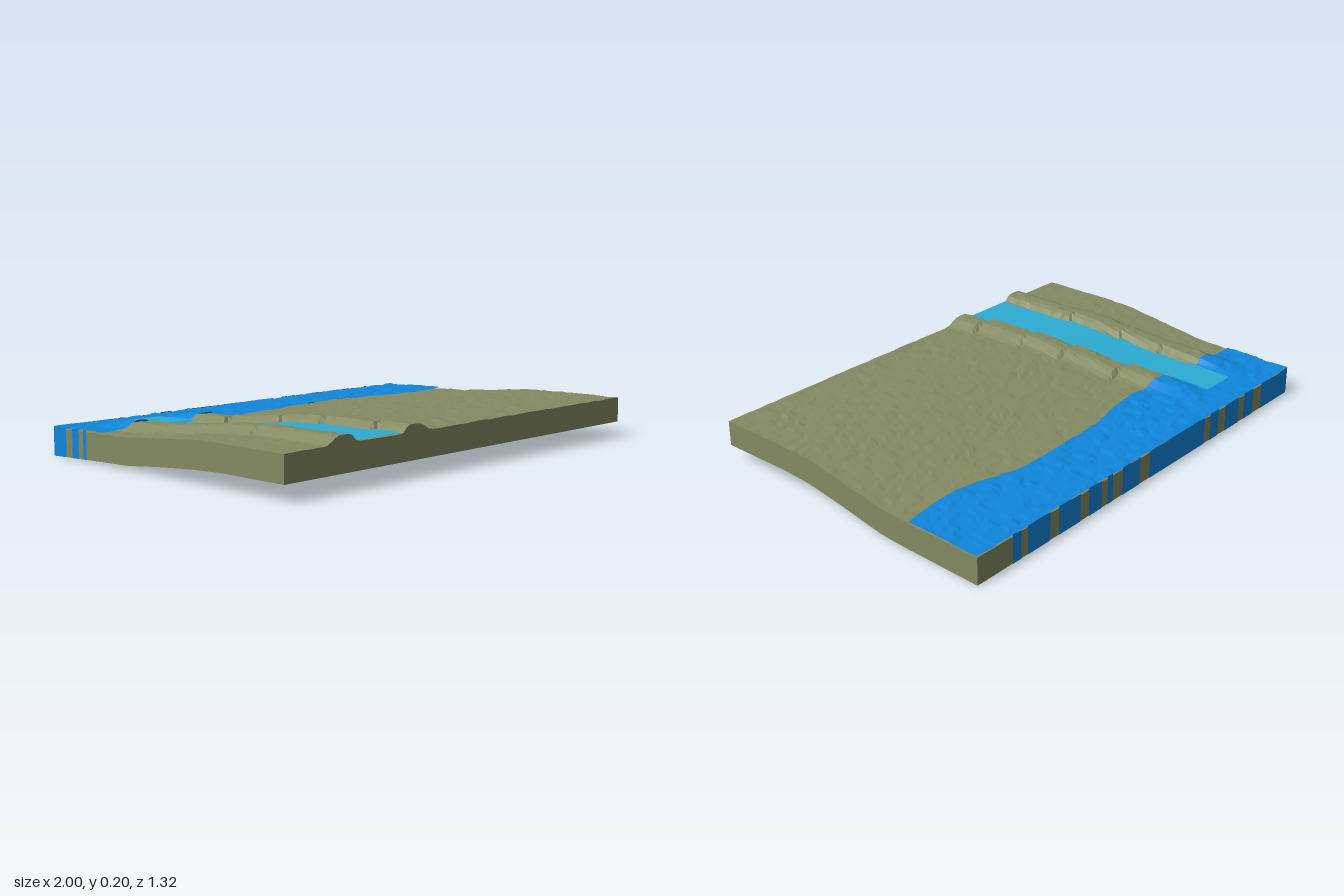
import * as THREE from 'three';

const lerp = THREE.MathUtils.lerp;
const smooth = THREE.MathUtils.smoothstep;

// Piecewise linear lookup through [position, value] pairs
function along(table, p) {
  for (let i = 1; i < table.length; i++) {
    const [a, va] = table[i - 1], [b, vb] = table[i];
    if (p <= b) return lerp(va, vb, Math.max(0, (p - a) / (b - a)));
  }
  return table[table.length - 1][1];
}

// Repeatable blocky roughness, 0..1 per patch of ground
function patch(x, z) {
  const n = Math.sin(Math.floor(x / 0.05) * 12.99 + Math.floor(z / 0.03) * 78.23) * 43758.55;
  return n - Math.floor(n);
}

const FRONT = 0.66, BACK = -0.66;
const topProfile = [[-0.66, 0.108], [-0.4, 0.115], [-0.2, 0.122], [0, 0.141], [0.15, 0.157], [0.3, 0.164], [0.66, 0.165]];
const bottomProfile = [[-0.66, 0.002], [-0.2, 0.018], [0, 0.04], [0.2, 0.058], [0.35, 0.065], [0.66, 0.065]];
const shoreline = [[-1, -0.36], [-0.7, -0.365], [-0.5, -0.345], [-0.3, -0.325], [-0.15, -0.345], [0, -0.375],
  [0.2, -0.385], [0.4, -0.39], [0.5, -0.375], [0.65, -0.33], [0.77, -0.315], [0.9, -0.325], [1, -0.345]];
// Stream bank steps: [up to z, left edge, right edge]
const streamSteps = [[-0.17, -0.71, -0.55], [0.03, -0.695, -0.51], [0.1, -0.68, -0.505], [0.3, -0.675, -0.48],
  [0.52, -0.655, -0.46], [1, -0.65, -0.425]];

const bend = (z) => 1 - smooth(z, -0.35, 0.32);
const xAt = (u, z) => lerp(-1 + 0.033 * bend(z), 0.96 + 0.037 * bend(z), u);
const bankAt = (z) => streamSteps.find((s) => z <= s[0]);
const bottomY = (z) => along(bottomProfile, z);

// Ground level including the two raised banks beside the stream
function groundY(x, z) {
  const [, left, right] = bankAt(z);
  const d = Math.max(left - x, x - right);
  const bank = smooth(d, 0, 0.04) * (1 - smooth(d, 0.09, 0.16));
  return along(topProfile, z) + 0.03 * bank * smooth(z, -0.6, -0.3);
}
const landY = (x, z) => groundY(x, z) + 0.004 * patch(x, z);

// Flat-shaded grid surface; its front faces dv x du
function sheet(name, material, nu, nv, point) {
  const positions = [], index = [];
  for (let j = 0; j <= nv; j++) {
    for (let i = 0; i <= nu; i++) positions.push(...point(i / nu, j / nv));
  }
  for (let j = 0; j < nv; j++) {
    for (let i = 0; i < nu; i++) {
      const a = j * (nu + 1) + i, b = a + nu + 1;
      index.push(a, b, a + 1, b, b + 1, a + 1);
    }
  }
  const indexed = new THREE.BufferGeometry();
  indexed.setAttribute('position', new THREE.Float32BufferAttribute(positions, 3));
  indexed.setIndex(index);
  const geometry = indexed.toNonIndexed();
  geometry.computeVertexNormals();
  const mesh = new THREE.Mesh(geometry, material);
  mesh.name = name;
  return mesh;
}

export function createModel() {
  const model = new THREE.Group();
  model.name = 'riversideTerrain';
  const paint = (color) => new THREE.MeshStandardMaterial({ color, flatShading: true, side: THREE.DoubleSide });
  const earth = paint(0x848a62), water = paint(0x0f86dc), shallow = paint(0x2cacd4);
  const NX = 98, NZ = 66;
  const zAt = (v) => lerp(BACK, FRONT, v);

  // Ground slab: top, underside and four walls
  const land = new THREE.Group();
  land.name = 'land';
  const wall = (x, z, v) => [x, lerp(landY(x, z), bottomY(z), v), z];
  land.add(
    sheet('landTop', earth, NX, NZ, (u, v) => {
      const z = zAt(v), x = xAt(u, z);
      return [x, landY(x, z), z];
    }),
    sheet('landUnderside', earth, NX, NZ, (u, v) => {
      const z = zAt(v);
      return [xAt(1 - u, z), bottomY(z), z];
    }),
    sheet('frontWall', earth, NX, 1, (u, v) => wall(xAt(u, FRONT), FRONT, v)),
    sheet('backWall', earth, NX, 1, (u, v) => wall(xAt(1 - u, BACK), BACK, v)),
    sheet('rightWall', earth, NZ, 1, (u, v) => wall(xAt(0, zAt(u)), zAt(u), v)),
    sheet('leftWall', earth, NZ, 1, (u, v) => wall(xAt(1, zAt(1 - u)), zAt(1 - u), v)),
  );
  model.add(land);

  // River along the back, with a choppy surface and a wavy shore
  const riverY = (x, z) => groundY(x, z) + 0.006 + 0.006 * patch(x + 7, z + 3);
  model.add(sheet('riverSurface', water, NX, 18, (u, v) => {
    const z = lerp(BACK - 0.002, along(shoreline, lerp(-0.97, 1, u)), v), x = xAt(u, z);
    return [x, riverY(x, z), z];
  }));

  // Water showing through the cut faces in vertical bands
  const bands = [[0.82, 0.775], [0.74, 0.62], [0.57, 0.45], [0.4, 0.325], [0.29, 0.26], [0.2, 0.09],
    [0.03, -0.34], [-0.38, -0.44], [-0.49, -0.59], [-0.63, -0.7], [-0.76, -0.967]];
  for (const [from, to] of bands) {
    model.add(sheet('riverBackBand', water, 8, 1, (u, v) => {
      const x = lerp(from, to, u);
      return [x, lerp(riverY(x, BACK), bottomY(BACK), v), BACK - 0.002];
    }));
  }
  for (const [from, to] of [[-0.66, -0.58], [-0.54, -0.5], [-0.47, -0.45]]) {
    model.add(sheet('riverSideBand', water, 4, 1, (u, v) => {
      const z = lerp(from, to, u), x = xAt(0, z) - 0.002;
      return [x, lerp(riverY(x, z), bottomY(z), v), z];
    }));
  }

  // Stream running down between its banks into the river
  model.add(sheet('stream', shallow, 8, 120, (u, v) => {
    const z = lerp(-0.535, FRONT, v), [, left, right] = bankAt(z);
    const x = lerp(left, right, u);
    return [x, along(topProfile, z) + (z < -0.33 ? 0.015 : 0.007), z];
  }));

  return model;
}
